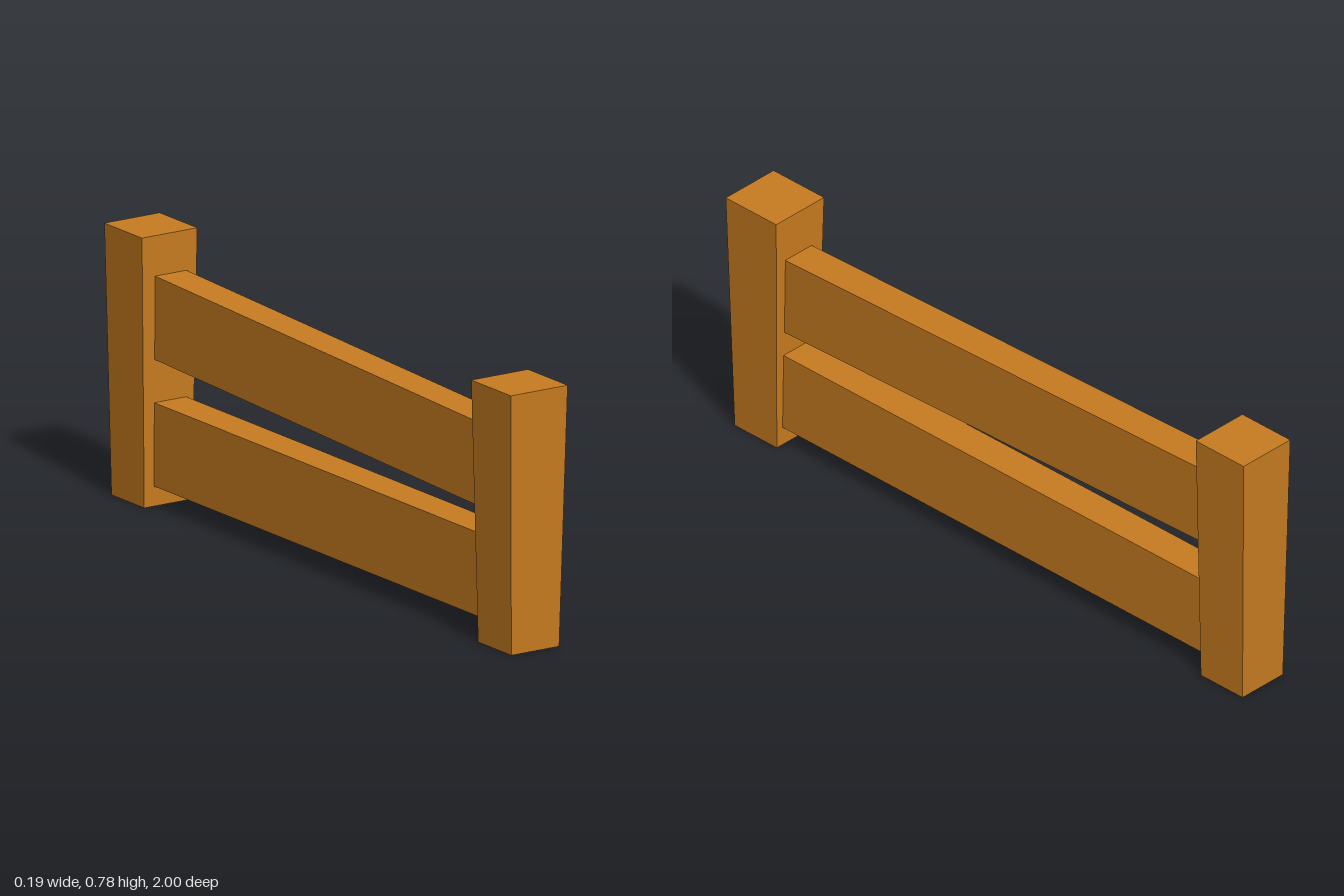
import * as THREE from 'three';

const wood = new THREE.MeshStandardMaterial({ color: 0xc87c20 });
wood.name = 'orangeWood';

// Move the corners of a unit box by a rule
function shapedBox(name, rule) {
  const geometry = new THREE.BoxGeometry(1, 1, 1);
  const p = geometry.attributes.position;
  for (let i = 0; i < p.count; i++) {
    p.setXYZ(i, ...rule(p.getX(i) > 0, p.getY(i) > 0, p.getZ(i) > 0));
  }
  geometry.computeVertexNormals();
  const mesh = new THREE.Mesh(geometry, wood);
  mesh.name = name;
  return mesh;
}

// Post that widens upwards; bottom and top are [x0, x1, z0, z1]
function post(name, height, bottom, top) {
  return shapedBox(name, (right, up, front) => {
    const r = up ? top : bottom;
    return [r[right ? 1 : 0], up ? height : 0, r[front ? 3 : 2]];
  });
}

// Plank between the posts, with its lower edge at yBack and yFront
function rail(name, yBack, yFront, x1) {
  const height = 0.242, reach = 0.83;
  return shapedBox(name, (right, up, front) => [
    right ? x1 : -0.049,
    (front ? yFront : yBack) + (up ? height : 0),
    front ? reach : -reach,
  ]);
}

export function createModel() {
  const fence = new THREE.Group();
  fence.name = 'fence';
  fence.add(
    post('frontPost', 0.757, [-0.081, 0.08, 0.817, 0.98], [-0.096, 0.095, 0.805, 1]),
    post('backPost', 0.784, [-0.081, 0.08, -0.984, -0.823], [-0.094, 0.092, -1, -0.815]),
    rail('lowerRail', 0.058, 0.058, 0.058),
    rail('upperRail', 0.425, 0.376, 0.056),
  );
  return fence;
}
